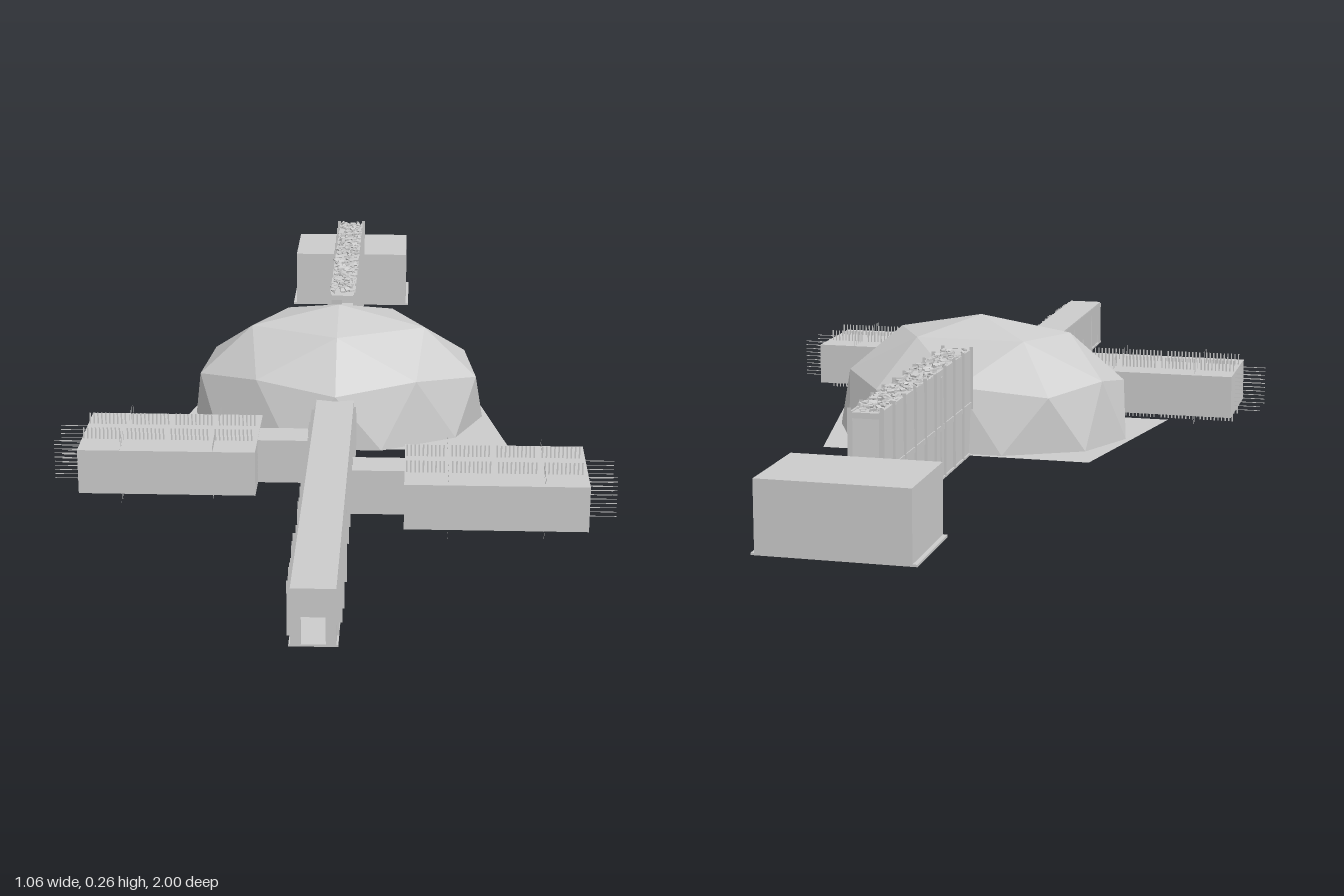
import * as THREE from 'three';
import { mergeGeometries } from 'three/addons/utils/BufferGeometryUtils.js';

const FLOOR = 0.02;
const grey = new THREE.MeshStandardMaterial({ color: 0xcccccc, flatShading: true, side: THREE.DoubleSide });

function add(parent, name, geometry) {
  const mesh = new THREE.Mesh(geometry, grey);
  mesh.name = name;
  parent.add(mesh);
  return mesh;
}

// Box given by its limits on each axis
function block(x0, x1, y0, y1, z0, z1) {
  return new THREE.BoxGeometry(x1 - x0, y1 - y0, z1 - z0)
    .translate((x0 + x1) / 2, (y0 + y1) / 2, (z0 + z1) / 2);
}

// Thin upright sheet facing z
function sheetZ(x0, x1, y0, y1, z) {
  return new THREE.PlaneGeometry(x1 - x0, y1 - y0).translate((x0 + x1) / 2, (y0 + y1) / 2, z);
}

// Thin upright sheet facing x
function sheetX(x, y0, y1, z0, z1) {
  return new THREE.PlaneGeometry(z1 - z0, y1 - y0).rotateY(Math.PI / 2)
    .translate(x, (y0 + y1) / 2, (z0 + z1) / 2);
}

function seeded(seed) {
  return () => (seed = (seed * 16807) % 2147483647) / 2147483647;
}

// Faceted dome: apex, five upper points, ten middle points, ten base points
function domeGeometry() {
  const point = (deg, rx, rz, y) => {
    const a = THREE.MathUtils.degToRad(deg);
    return new THREE.Vector3(rx * Math.sin(a), y, -0.052 + rz * Math.cos(a));
  };
  const apex = new THREE.Vector3(0, 0.26, -0.052);
  const upper = (k) => point(72 * k, 0.184, 0.11, 0.224);
  const corner = (k) => point(72 * k, 0.295, 0.193, 0.128);
  const between = (k) => point(72 * k + 36, 0.272, 0.182, 0.146);
  const base = (k) => point(36 * k + 18, 0.297, 0.212, FLOOR);
  const faces = [];
  for (let k = 0; k < 5; k++) {
    const b = 2 * k;
    faces.push(
      apex, upper(k), upper(k + 1),
      upper(k), between(k), upper(k + 1),
      upper(k), corner(k), between(k),
      upper(k + 1), between(k), corner(k + 1),
      corner(k), base(b - 1), base(b),
      corner(k), base(b), between(k),
      between(k), base(b), base(b + 1),
      between(k), base(b + 1), corner(k + 1));
  }
  const geometry = new THREE.BufferGeometry().setFromPoints(faces);
  geometry.computeVertexNormals();
  return geometry;
}

// Side hall with a link to the front corridor and rows of thin rods
function annex(side, zMid) {
  const group = new THREE.Group();
  group.name = side > 0 ? 'leftAnnex' : 'rightAnnex';
  const span = (a, b) => (side > 0 ? [a, b] : [-b, -a]);
  const [x0, x1] = span(0.14, 0.474);
  add(group, 'hall', block(x0, x1, FLOOR, 0.107, zMid - 0.1, zMid + 0.1));
  const [l0, l1] = span(0.035, 0.14);
  add(group, 'link', block(l0, l1, FLOOR, 0.106, zMid - 0.033, zMid + 0.033));

  const rods = [];
  const w = 0.0014;
  for (const dz of [-0.04, 0.04]) {
    for (let i = 0; i < 44; i++) {
      if (i % 11 === 10) continue;
      const x = x0 + 0.004 + i * 0.0076;
      rods.push(sheetZ(x - w, x + w, 0.105, 0.13, zMid + dz));
      rods.push(sheetZ(x - w, x + w, 0, FLOOR, zMid + dz));
    }
    for (let i = 0; i < 10; i++) {
      const y = 0.026 + i * 0.0085;
      rods.push(sheetZ(x0 - 0.054, x0, y - w / 2, y + w / 2, zMid + dz));
      rods.push(sheetZ(x1, x1 + 0.054, y - w / 2, y + w / 2, zMid + dz));
    }
  }
  // Cross rods near both long walls
  for (const s of [-1, 1]) {
    for (let i = 0; i < 6; i++) {
      const z = zMid + s * (0.096 - i * 0.01);
      for (const x of [x0 + 0.08, x1 - 0.08]) {
        rods.push(sheetX(x, 0.105, 0.13, z - w, z + w), sheetX(x, 0, FLOOR, z - w, z + w));
      }
    }
  }
  add(group, 'rods', mergeGeometries(rods));
  return group;
}

// Long front passage with two doorways in each wall
function frontCorridor() {
  const group = new THREE.Group();
  group.name = 'frontCorridor';
  add(group, 'floor', block(-0.04, 0.04, FLOOR - 0.002, FLOOR + 0.002, 0.13, 1));
  add(group, 'roof', block(-0.037, 0.037, 0.114, 0.12, 0.13, 1));

  const wall = new THREE.Shape();
  wall.moveTo(0.13, FLOOR);
  for (const z of [0.67, 0.85]) {
    wall.lineTo(z - 0.018, FLOOR);
    wall.lineTo(z - 0.018, 0.068);
    wall.lineTo(z + 0.018, 0.068);
    wall.lineTo(z + 0.018, FLOOR);
  }
  wall.lineTo(1, FLOOR);
  wall.lineTo(1, 0.118);
  wall.lineTo(0.13, 0.118);
  for (const x of [-0.037, 0.032]) {
    const geometry = new THREE.ExtrudeGeometry(wall, { depth: 0.005, bevelEnabled: false });
    geometry.rotateY(-Math.PI / 2).translate(x + 0.005, 0, 0);
    add(group, 'sideWall', geometry);
  }

  // End wall with the entrance
  const front = new THREE.Shape([[-0.037, FLOOR], [-0.02, FLOOR], [-0.02, 0.07], [0.02, 0.07],
    [0.02, FLOOR], [0.037, FLOOR], [0.037, 0.118], [-0.037, 0.118]].map((p) => new THREE.Vector2(...p)));
  add(group, 'entrance', new THREE.ExtrudeGeometry(front, { depth: 0.005, bevelEnabled: false }).translate(0, 0, 0.995));

  // Raised frames round the side doorways
  const frames = [];
  for (const z of [0.67, 0.85]) {
    for (const s of [-1, 1]) {
      const x = s * 0.038;
      frames.push(block(x - 0.002, x + 0.002, 0.068, 0.105, z - 0.034, z + 0.034));
      for (const e of [-1, 1]) {
        frames.push(block(x - 0.002, x + 0.002, FLOOR, 0.068, z + e * 0.026 - 0.008, z + e * 0.026 + 0.008));
      }
    }
  }
  add(group, 'doorFrames', mergeGeometries(frames));

  // Uneven fins on the walls
  const rand = seeded(7);
  const fins = [];
  for (let z = 0.17; z < 0.99; z += 0.017) {
    for (const s of [-1, 1]) {
      const out = s * (0.04 + 0.006 * rand());
      const low = FLOOR + 0.05 * rand();
      fins.push(sheetZ(Math.min(s * 0.035, out), Math.max(s * 0.035, out), low, 0.119, z));
    }
  }
  add(group, 'wallFins', mergeGeometries(fins));
  return group;
}

// Tall rear passage with beams, fins and rubble along the top
function rearCorridor() {
  const group = new THREE.Group();
  group.name = 'rearCorridor';
  const z0 = -0.82, z1 = -0.24;
  add(group, 'floor', block(-0.03, 0.03, FLOOR - 0.002, FLOOR + 0.002, z0, z1));
  add(group, 'roof', block(-0.025, 0.025, 0.21, 0.22, z0, z1));
  for (const s of [-1, 1]) {
    add(group, 'sideWall', block(s * 0.025 - 0.002, s * 0.025 + 0.002, FLOOR, 0.222, z0, z1));
    add(group, 'sideBeam', block(s * 0.027 - 0.002, s * 0.027 + 0.002, 0.11, 0.12, z0, z1));
    add(group, 'sidePost', block(s * 0.027 - 0.002, s * 0.027 + 0.002, FLOOR, 0.21, -0.456, -0.444));
  }
  const rand = seeded(31);
  const fins = [];
  for (let i = 0; i <= 9; i++) {
    const z = z0 + (i * (z1 - z0)) / 9;
    for (const s of [-1, 1]) fins.push(sheetZ(s * 0.0285 - 0.0035, s * 0.0285 + 0.0035, FLOOR, 0.228, z));
  }
  add(group, 'wallFins', mergeGeometries(fins));

  const rubble = [];
  for (let i = 0; i < 260; i++) {
    const chip = new THREE.BoxGeometry(0.004 + 0.01 * rand(), 0.003, 0.004 + 0.008 * rand());
    chip.rotateX(rand() - 0.5).rotateY(3 * rand());
    chip.translate(0.046 * (rand() - 0.5), 0.22 + 0.008 * rand(), z0 + 0.006 + (z1 - z0 - 0.012) * rand());
    rubble.push(chip);
  }
  add(group, 'roofRubble', mergeGeometries(rubble));
  return group;
}

export function createModel() {
  const model = new THREE.Group();
  model.name = 'domedComplex';

  // Ground sheet tapering to the back
  const sheet = new THREE.Shape([[-0.35, -0.143], [0.35, -0.143], [0.265, 0.265], [-0.265, 0.265]]
    .map((p) => new THREE.Vector2(...p)));
  add(model, 'groundSheet', new THREE.ShapeGeometry(sheet).rotateX(-Math.PI / 2).translate(0, FLOOR, 0));
  add(model, 'dome', domeGeometry());

  model.add(annex(-1, 0.29), annex(1, 0.435), frontCorridor(), rearCorridor());

  // Rear building on a slightly wider plate
  add(model, 'rearBuilding', block(-0.132, 0.132, FLOOR, 0.145, -1, -0.82));
  add(model, 'rearPlate', block(-0.14, 0.138, FLOOR - 0.002, FLOOR + 0.002, -1, -0.82));
  return model;
}
